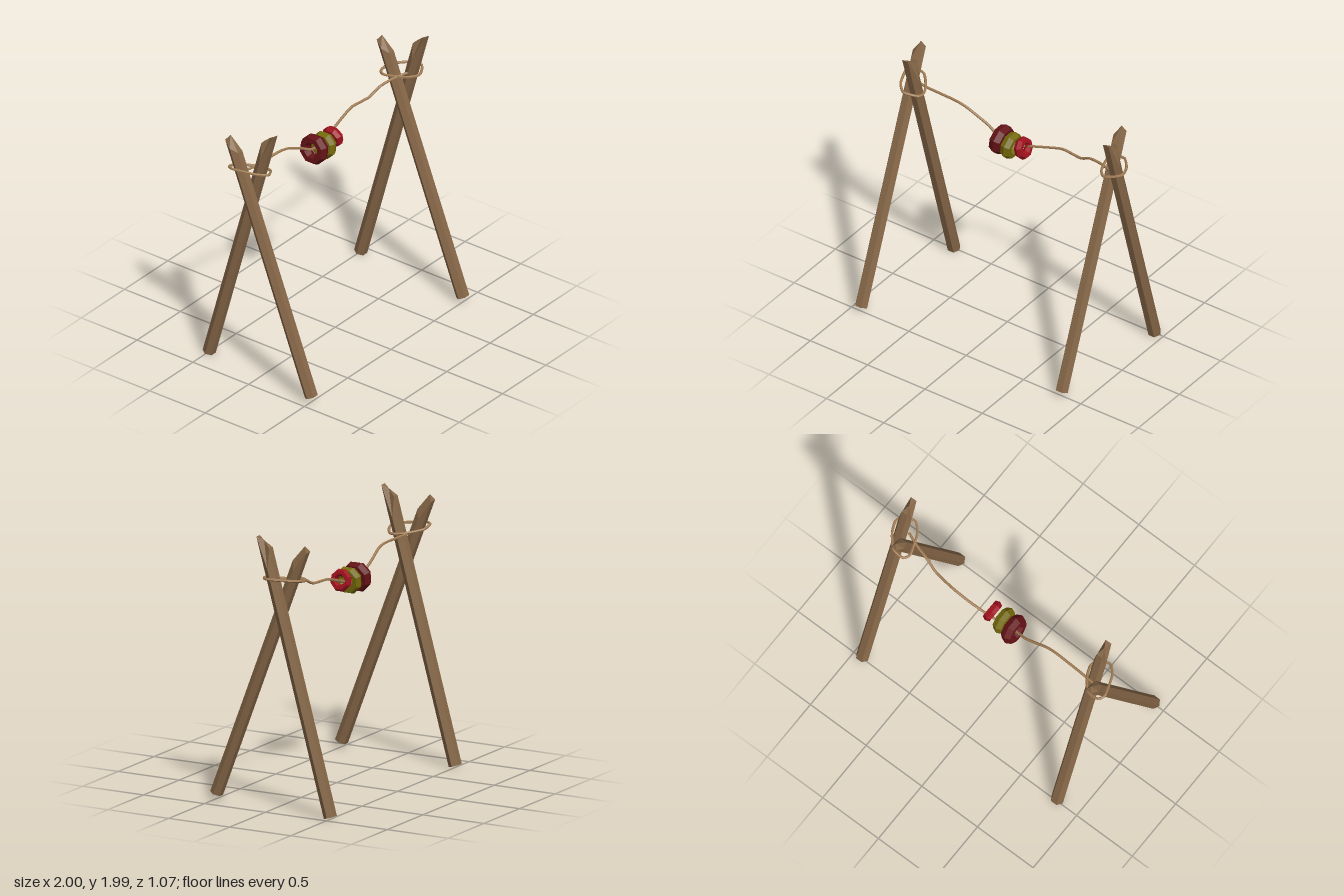
import * as THREE from 'three';

const mat = (color) => new THREE.MeshStandardMaterial({ color, flatShading: true });
const WOOD = mat(0x866747);
const ROPE = mat(0xa07c55);

function add(parent, name, geometry, material) {
  const mesh = new THREE.Mesh(geometry, material);
  mesh.name = name;
  parent.add(mesh);
  return mesh;
}

// Leaning six-sided pole. slope = dz per unit of y.
// tops = heights where the six edges end (from +x, round by the front), apex = height of the tip.
function poleGeometry(footY, footZ, slope, tops, apex) {
  const foot = new THREE.Vector3(0, footY, footZ);
  const dir = new THREE.Vector3(0, 1, slope).normalize();
  const across = new THREE.Vector3(0, -dir.z, dir.y);
  const along = (p, y) => p.clone().addScaledVector(dir, (y - p.y) / dir.y);
  const low = [], high = [], pos = [], index = [];
  for (let i = 0; i < 6; i++) {
    const a = (i * Math.PI) / 3;
    const p = foot.clone().addScaledVector(across, 0.047 * Math.sin(a));
    p.x += 0.05 * Math.cos(a);
    low.push(p);
    high.push(along(p, tops[i]));
  }
  [...low, ...high, foot, along(foot, apex)].forEach((p) => pos.push(p.x, p.y, p.z));
  for (let i = 0; i < 6; i++) {
    const j = (i + 1) % 6;
    index.push(i, i + 6, j, j, i + 6, j + 6); // side
    index.push(12, i, j);                     // foot
    index.push(13, j + 6, i + 6);             // carved tip
  }
  const g = new THREE.BufferGeometry();
  g.setAttribute('position', new THREE.Float32BufferAttribute(pos, 3));
  g.setIndex(index);
  const flat = g.toNonIndexed();
  flat.computeVertexNormals();
  return flat;
}

function ropeGeometry(points, closed, segments) {
  const curve = new THREE.CatmullRomCurve3(points.map((p) => new THREE.Vector3(...p)), closed, 'catmullrom', 0.3);
  return new THREE.TubeGeometry(curve, segments, 0.01, 6, closed);
}

export function createModel() {
  const model = new THREE.Group();
  model.name = 'beadHangingFrame';

  // crossed poles, one pair per end
  const frontFoot = poleGeometry(0.047, 0.4975, -0.383, [1.76, 1.83, 1.83, 1.86, 1.9, 1.89], 1.94);
  const backFoot = poleGeometry(0.015, -0.4925, 0.278, [1.77, 1.995, 1.995, 1.79, 1.92, 1.92], 1.97);
  for (const [side, x] of [['right', -0.87], ['left', 0.88]]) {
    const pair = new THREE.Group();
    pair.name = side + 'Poles';
    add(pair, side + 'FrontFootPole', frontFoot, WOOD).position.x = x - 0.046;
    add(pair, side + 'BackFootPole', backFoot, WOOD).position.x = x + 0.05;
    model.add(pair);
  }

  // rope lashing round each crossing: outline as x offset, z
  const outline = [[-0.115, -0.15], [-0.09, -0.205], [0.0, -0.2], [0.08, -0.11],
    [0.115, -0.03], [0.1, 0.02], [0.01, 0.065], [-0.06, 0.0]];
  for (const [side, x, tilt] of [['right', -0.87, -0.25], ['left', 0.88, 0.15]]) {
    const points = outline.map(([dx, z]) => [x + dx, 1.688 + tilt * dx, z]);
    add(model, side + 'Lashing', ropeGeometry(points, true, 40), ROPE);
  }

  // sagging rope between the pole pairs
  add(model, 'rope', ropeGeometry([
    [-0.86, 1.665, -0.12], [-0.77, 1.66, -0.11], [-0.52, 1.66, -0.1], [-0.42, 1.64, -0.1],
    [-0.32, 1.59, -0.11], [-0.24, 1.55, -0.115], [-0.14, 1.5, -0.1], [0, 1.49, -0.11],
    [0.1, 1.51, -0.125], [0.24, 1.55, -0.14], [0.38, 1.59, -0.145], [0.55, 1.595, -0.125],
    [0.65, 1.65, -0.1], [0.77, 1.67, -0.07], [0.87, 1.68, -0.03],
  ], false, 56), ROPE);

  // faceted ring beads: outer radius, half width, lean
  const beads = [
    ['darkRedBead', 0x651216, -0.12, 1.495, -0.095, 0.112, 0.042, -0.13],
    ['yellowBead', 0x756a0c, -0.025, 1.488, -0.083, 0.101, 0.037, -0.1],
    ['redBead', 0xa0121e, 0.08, 1.51, -0.083, 0.082, 0.03, 0.24],
  ];
  for (const [name, color, x, y, z, outer, half, lean] of beads) {
    const tube = outer * 0.32;
    const g = new THREE.TorusGeometry(outer - tube, tube, 6, 8);
    g.rotateZ(Math.PI / 8).scale(1.04, 1.04, half / (tube * 0.866)).rotateY(Math.PI / 2);
    const bead = add(model, name, g, mat(color));
    bead.position.set(x, y, z);
    bead.rotation.z = lean;
  }
  return model;
}
